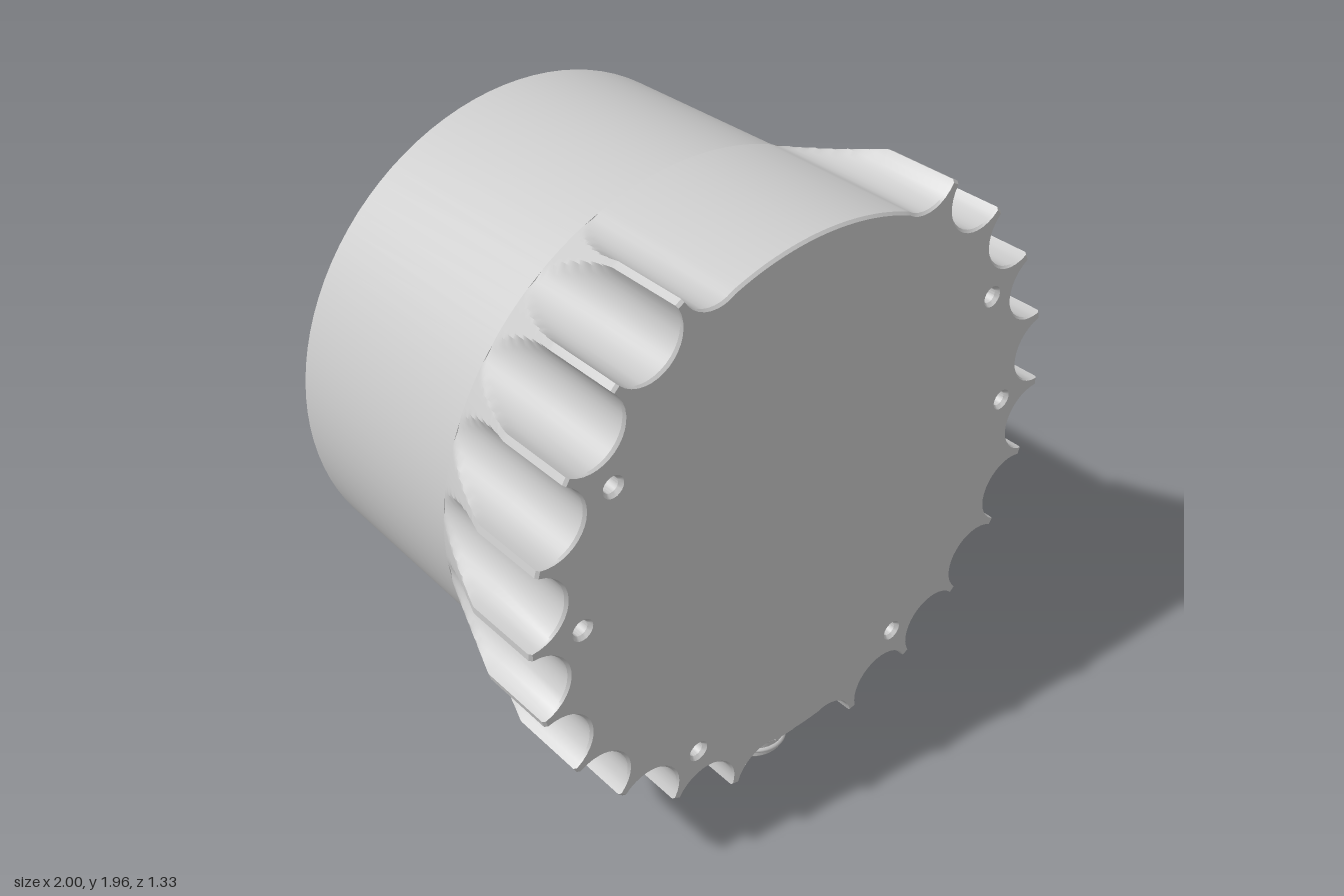
import * as THREE from 'three';
import { toCreasedNormals } from 'three/addons/utils/BufferGeometryUtils.js';

const CY = 1.07;                        // height of the housing axis
const FRONT = 0.667, BACK = -0.667;
const CONE_FRONT = 0.42, RIM_BACK = 0.125;
const R_FLAT = 0.889;                   // rim radius where there are no grips
const GRIP_R = 0.12, GRIP_D = 1.006;    // scallop radius and distance from axis

const mat = new THREE.MeshStandardMaterial({ color: 0xcccccc, side: THREE.DoubleSide });

function add(parent, name, geo, x = 0, y = 0, z = 0) {
  const mesh = new THREE.Mesh(geo, mat);
  mesh.name = name;
  mesh.position.set(x, y, z);
  parent.add(mesh);
  return mesh;
}

// Polar outline of the scalloped rim: flat at the top and around the connector
function rimOutline() {
  const out = [], steps = 16;
  for (let k = 0; k < 24; k++) {
    const mid = 7.5 + 15 * k;
    for (let i = 0; i <= steps; i++) {
      const t = (i / steps - 0.5) * Math.PI;
      const phi = Math.asin((GRIP_R / GRIP_D) * Math.sin(t));
      const angle = mid + THREE.MathUtils.radToDeg(phi);
      const flat = (angle > 67.6 && angle < 112.4) || (angle > 262.6 && angle < 277.4);
      const r = flat ? R_FLAT : GRIP_D * Math.cos(phi) - GRIP_R * Math.cos(t);
      out.push({ a: THREE.MathUtils.degToRad(angle), r });
    }
  }
  return out;
}

const coneRadius = z =>
  0.89 + 0.11 * Math.min(1, (z - RIM_BACK) / (CONE_FRONT - RIM_BACK));

// Rim wall: the scalloped prism trimmed by a cone towards the back
function rimGeometry(outline) {
  const rings = [];
  for (let j = 0; j <= 28; j++) rings.push([RIM_BACK + (CONE_FRONT - RIM_BACK) * j / 28, 0]);
  rings.push([FRONT - 0.008, 0], [FRONT, 0.008]);
  const pos = [], idx = [], n = outline.length;
  for (const [z, inset] of rings)
    for (const { a, r } of outline) {
      const q = Math.min(r, coneRadius(z)) - inset;
      pos.push(q * Math.cos(a), q * Math.sin(a), z);
    }
  for (let j = 0; j < rings.length - 1; j++)
    for (let i = 0; i < n; i++) {
      const a = j * n + i, b = j * n + (i + 1) % n;
      idx.push(a, b, b + n, a, b + n, a + n);
    }
  const geo = new THREE.BufferGeometry();
  geo.setAttribute('position', new THREE.Float32BufferAttribute(pos, 3));
  geo.setIndex(idx);
  return toCreasedNormals(geo, 0.5);
}

// Flat face with round holes cut through it
function faceGeometry(points, holes) {
  const shape = new THREE.Shape(points);
  for (const h of holes)
    shape.holes.push(new THREE.Path().absarc(h.x, h.y, h.r, 0, Math.PI * 2, true));
  return new THREE.ShapeGeometry(shape, 10);
}

// Turned profile of [radius, height] pairs, with crisp edges
function turned(profile, segments = 32) {
  const geo = new THREE.LatheGeometry(profile.map(p => new THREE.Vector2(...p)), segments);
  return toCreasedNormals(geo, 0.5);
}

// Lining of a screw hole, opening towards +z
const socket = r => turned([[0, -0.06], [r * 0.72, -0.06], [r * 0.72, -0.012], [r, 0]], 20)
  .rotateX(Math.PI / 2);

const polar = (deg, radius, r) => {
  const a = THREE.MathUtils.degToRad(deg);
  return { x: radius * Math.cos(a), y: radius * Math.sin(a), r };
};

export function createModel() {
  const model = new THREE.Group();
  model.name = 'roundHousing';
  const housing = new THREE.Group();
  housing.name = 'housing';
  housing.position.y = CY;
  model.add(housing);

  // Grip rim and front plate
  const outline = rimOutline();
  add(housing, 'gripRim', rimGeometry(outline));
  const edge = outline.map(({ a, r }) =>
    new THREE.Vector2((r - 0.008) * Math.cos(a), (r - 0.008) * Math.sin(a)));
  const frontHoles = [0, 30, 150, 180, 240, 300].map(d => polar(d, 0.828, 0.035));
  add(housing, 'frontPlate', faceGeometry(edge, frontHoles), 0, 0, FRONT);
  for (const h of frontHoles) add(housing, 'frontScrewHole', socket(h.r), h.x, h.y, FRONT);
  add(housing, 'rimBackRing', new THREE.RingGeometry(0.86, 0.889, 120).rotateY(Math.PI), 0, 0, RIM_BACK);

  // Slightly tapered body
  add(housing, 'body',
    turned([[0.854, BACK], [0.866, RIM_BACK], [0.866, RIM_BACK + 0.02]], 96).rotateX(Math.PI / 2));

  // Back plate; the hole on the model's right is the larger one
  const disc = [];
  for (let i = 0; i < 96; i++) {
    const p = polar(i * 3.75, 0.854);
    disc.push(new THREE.Vector2(p.x, p.y));
  }
  const backHoles = [];
  for (let d = 0; d < 360; d += 45) backHoles.push(polar(d, 0.69, d === 0 ? 0.034 : 0.026));
  const back = new THREE.Group();
  back.name = 'back';
  back.position.z = BACK;
  back.rotation.y = Math.PI;
  housing.add(back);
  add(back, 'backPlate', faceGeometry(disc, backHoles));
  for (const h of backHoles) add(back, 'backScrewHole', socket(h.r), h.x, h.y, 0);

  // Small set screws on the body and on the rim's cone
  const zAxis = new THREE.Vector3(0, 0, 1);
  for (const deg of [45, 135, 225, 315])
    for (const [name, radius, z, slope] of [
      ['bodySetScrew', 0.856, -0.61, 0], ['rimSetScrew', 0.919, 0.2, -0.37]]) {
      const p = polar(deg, radius);
      const screw = add(housing, name, new THREE.CircleGeometry(0.015, 16), p.x, p.y, z);
      const u = polar(deg, 1);
      screw.quaternion.setFromUnitVectors(zAxis, new THREE.Vector3(u.x, u.y, slope).normalize());
    }

  // Connector under the rim
  const plug = new THREE.Group();
  plug.name = 'connector';
  plug.position.z = 0.465;
  model.add(plug);
  add(plug, 'connectorNut',
    turned([[0.1, 0.105], [0.135, 0.105], [0.145, 0.115], [0.145, 0.175], [0.135, 0.185], [0.135, 0.21]]));
  for (let i = 0; i < 6; i++) {
    const a = i * Math.PI / 3;
    const grip = add(plug, 'nutGrip', new THREE.BoxGeometry(0.08, 0.06, 0.03),
      0.137 * Math.sin(a), 0.145, 0.137 * Math.cos(a));
    grip.rotation.y = a;
  }
  add(plug, 'connectorBarrel',
    turned([[0, 0.04], [0.085, 0.04], [0.085, 0], [0.1, 0], [0.106, 0.008], [0.106, 0.11]]));
  add(plug, 'connectorKey', new THREE.BoxGeometry(0.03, 0.035, 0.025), 0, 0.022, 0.075);

  // Coarse thread around the barrel
  const helix = [];
  for (let i = 0; i <= 48; i++) {
    const a = i / 48 * Math.PI * 4;
    helix.push(new THREE.Vector3(0.106 * Math.cos(a), 0.02 + 0.075 * i / 48, 0.106 * Math.sin(a)));
  }
  add(plug, 'connectorThread',
    new THREE.TubeGeometry(new THREE.CatmullRomCurve3(helix), 96, 0.009, 6));

  return model;
}
